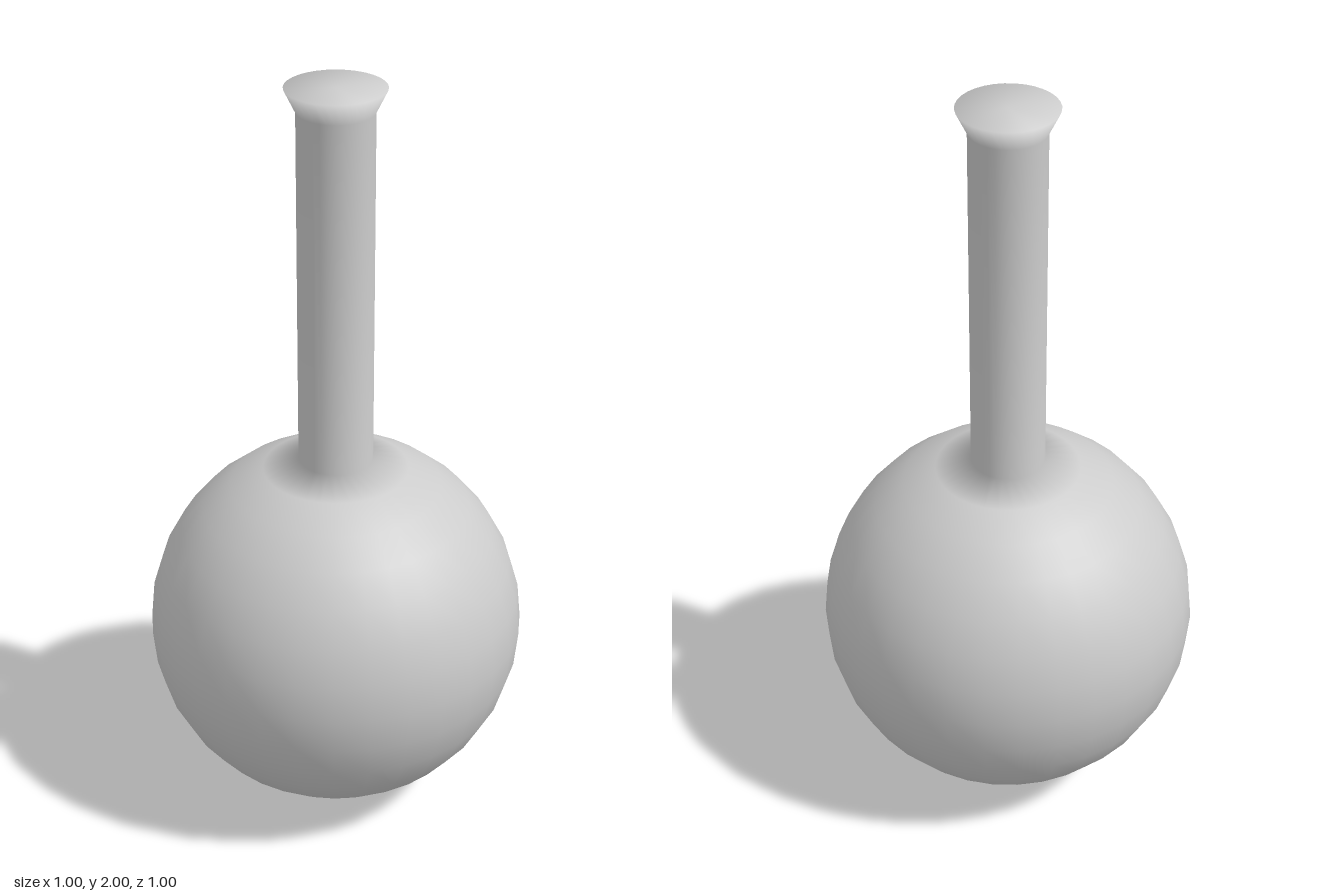
import * as THREE from 'three';

const SIDES = 32;
const RADIUS = 0.5;

export function createModel() {
  const group = new THREE.Group();
  group.name = 'roundFlask';

  // Round body: rings from the bottom pole up to the ring where the neck starts
  const profile = [];
  for (let i = 0; i < SIDES / 2; i++) {
    const a = (i / (SIDES / 2)) * Math.PI;
    profile.push(new THREE.Vector2(RADIUS * Math.sin(a), RADIUS - RADIUS * Math.cos(a)));
  }

  // Straight neck, flared lip and closed top
  const neck = profile[profile.length - 1].x;
  const lip = neck * 1.3;
  profile.push(
    new THREE.Vector2(neck, 1.94),
    new THREE.Vector2(lip, 2),
    new THREE.Vector2(0, 2)
  );

  // One smooth surface, so the shading runs from body to neck to lip
  const flask = new THREE.Mesh(
    new THREE.LatheGeometry(profile, SIDES),
    new THREE.MeshStandardMaterial({ color: 0xcccccc, side: THREE.DoubleSide })
  );
  flask.name = 'flaskBodyAndNeck';
  group.add(flask);
  return group;
}
